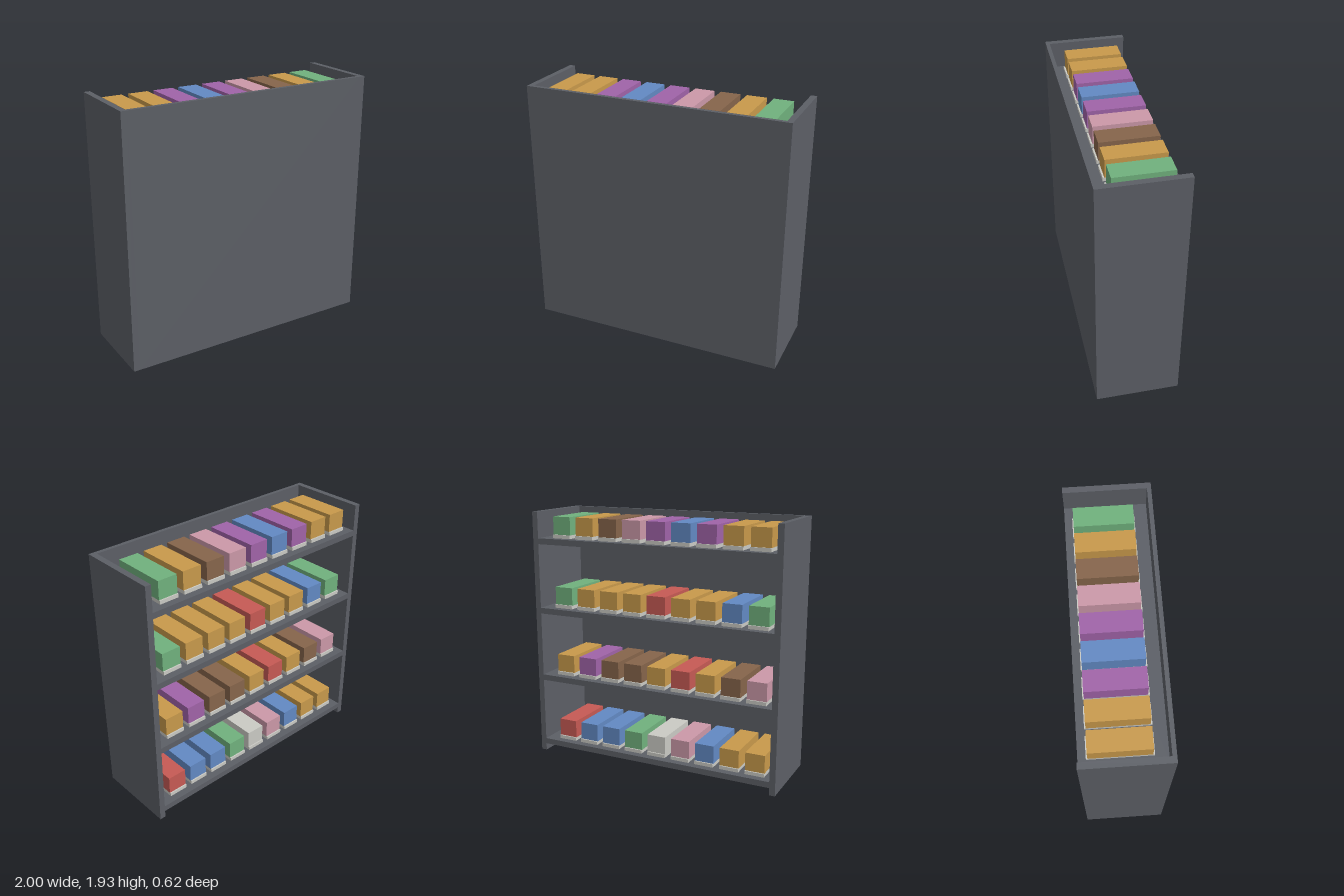
import * as THREE from 'three';

const mat = (name, color) => {
  const m = new THREE.MeshStandardMaterial({ color });
  m.name = name;
  return m;
};

// Box given by its minimum and maximum corners
function box(name, material, [x0, y0, z0], [x1, y1, z1]) {
  const geo = new THREE.BoxGeometry(x1 - x0, y1 - y0, z1 - z0);
  const mesh = new THREE.Mesh(geo, material);
  mesh.position.set((x0 + x1) / 2, (y0 + y1) / 2, (z0 + z1) / 2);
  mesh.name = name;
  return mesh;
}

export function createModel() {
  const model = new THREE.Group();
  model.name = 'stockedShelf';

  const frame = mat('frame grey', 0x5c5f66);
  const colours = {
    o: mat('orange', 0xc8994b),
    p: mat('purple', 0xa063a8),
    b: mat('blue', 0x6289c3),
    k: mat('pink', 0xcb98a8),
    n: mat('brown', 0x86654b),
    g: mat('green', 0x70b17d),
    r: mat('red', 0xc65a54),
    w: mat('off white', 0xcacac4),
  };

  const H = 1.93, D = 0.31, T = 0.045;

  // Side panels and the closed panel facing +z
  for (const [name, x] of [['leftSide', 1 - T], ['rightSide', -1]])
    model.add(box(name, frame, [x, 0, -D], [x + T, H, D]));
  model.add(box('closedPanel', frame, [-1 + T, 0, 0.28], [1 - T, H, D]));

  // Goods on each shelf, bottom shelf first, listed from -x to +x
  const rows = ['oobkwgbbr', 'knoronnpo', 'gboorooog', 'oopbpknog'];
  rows.forEach((row, i) => {
    const y = 0.1 + i * 0.543;
    const level = new THREE.Group();
    level.name = 'level' + (i + 1);
    level.add(box('shelf', frame, [-1 + T, y - T, -D], [1 - T, y, 0.28]));
    [...row].forEach((key, j) => {
      const x = -0.82 + j * 0.2;
      // Pale tray with a coloured carton on it
      level.add(box('tray', colours.w, [x - 0.075, y, -0.255], [x + 0.075, y + 0.027, 0.187]));
      level.add(box('carton', colours[key], [x - 0.075, y + 0.027, -0.245], [x + 0.075, y + 0.164, 0.175]));
    });
    model.add(level);
  });

  return model;
}
